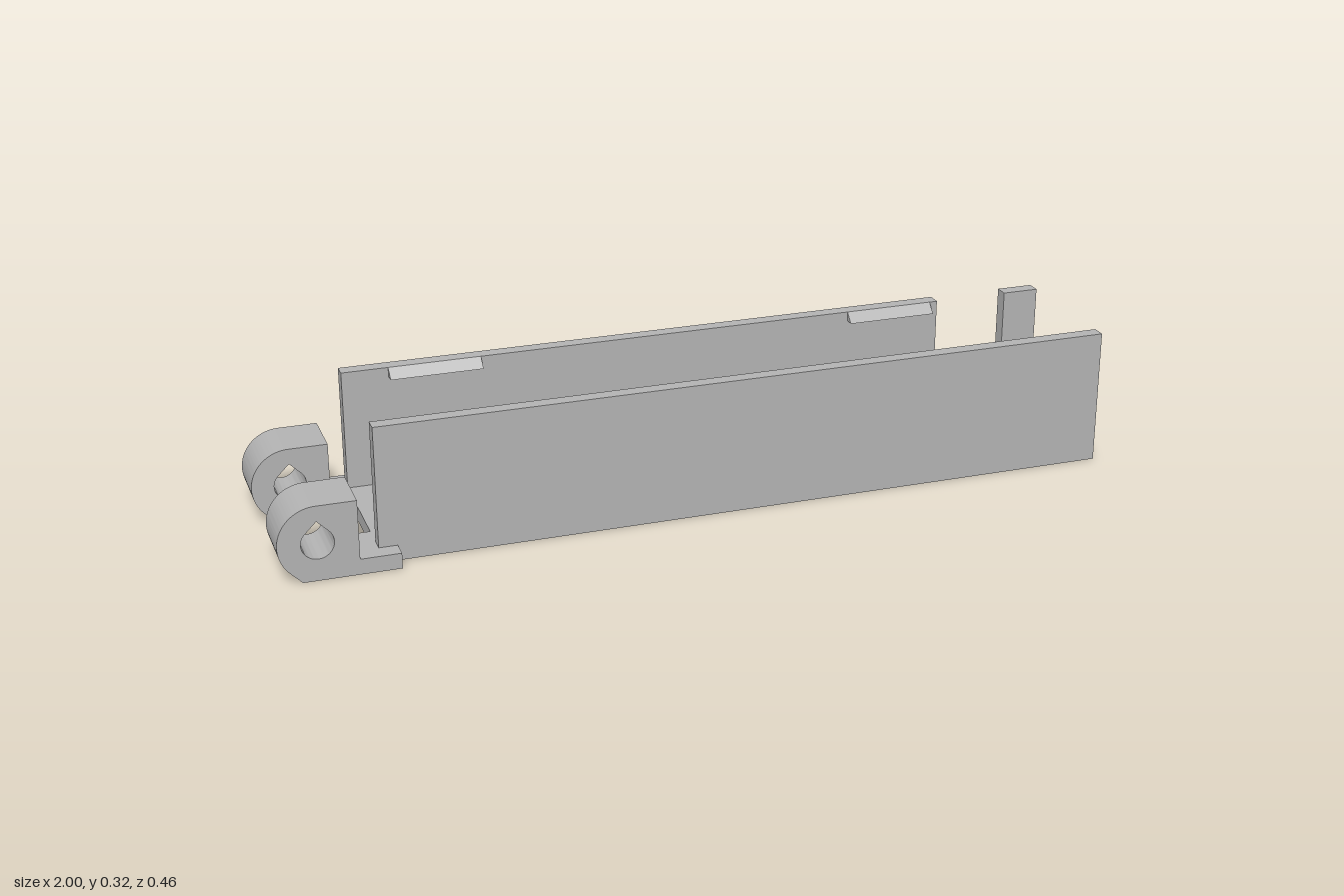
import * as THREE from 'three';
import { toCreasedNormals } from 'three/addons/utils/BufferGeometryUtils.js';

const X0 = -0.77, X1 = 1;              // channel ends
const HALF = 0.187, WALL = 0.034;      // channel half width, wall thickness
const FLOOR = 0.037, TOP = 0.325;      // floor thickness, wall height

export function createModel() {
  const model = new THREE.Group();
  const grey = new THREE.MeshStandardMaterial({ color: 0xb2b2b2 });
  grey.name = 'grey plastic';

  const add = (name, geometry) => {
    const mesh = new THREE.Mesh(geometry, grey);
    mesh.name = name;
    model.add(mesh);
    return mesh;
  };
  const box = (name, x0, x1, y0, y1, z0, z1) =>
    add(name, new THREE.BoxGeometry(x1 - x0, y1 - y0, z1 - z0))
      .position.set((x0 + x1) / 2, (y0 + y1) / 2, (z0 + z1) / 2);

  // Channel: floor, full front wall, back wall with a gap near the open end
  box('floor', X0, X1, 0, FLOOR, -HALF, HALF);
  box('frontWall', X0, X1, FLOOR, TOP, HALF - WALL, HALF);
  box('backWall', X0, 0.725, FLOOR, TOP, -HALF, -HALF + WALL);
  box('backPost', 0.91, X1, FLOOR, TOP, -HALF, -HALF + WALL);

  // Wedge-shaped snap clips along the top inner edges
  const inner = HALF - WALL;
  for (const side of [1, -1]) {
    for (const x of [-0.66, 0.485]) {
      const wedge = new THREE.Shape([
        new THREE.Vector2(-side * inner, TOP),
        new THREE.Vector2(-side * inner, TOP - 0.023),
        new THREE.Vector2(-side * (inner - 0.023), TOP - 0.023),
      ]);
      const geometry = new THREE.ExtrudeGeometry(wedge, { depth: 0.22, bevelEnabled: false });
      geometry.rotateY(Math.PI / 2);   // extrude along x, shape x becomes -z
      add('snapClip', geometry).position.x = x;
    }
  }

  // Hinge knuckle profile: rounded end, chamfered underside and a foot plate
  const cx = -0.911, cy = 0.089, r = 0.089, hole = 0.037, c = Math.SQRT1_2;
  const profile = new THREE.Shape();
  profile.moveTo(-0.727, 0);
  profile.lineTo(-0.727, FLOOR);
  profile.lineTo(-0.82, FLOOR);
  profile.lineTo(-0.82, cy + r);
  profile.lineTo(cx, cy + r);
  profile.absarc(cx, cy, r, Math.PI / 2, Math.PI * 1.25, false);
  profile.lineTo(cx - r * c + (cy - r * c), 0);
  profile.closePath();

  // Teardrop pin hole with its point upward
  const pin = new THREE.Path();
  pin.moveTo(cx, cy + hole * Math.SQRT2);
  pin.lineTo(cx + hole * c, cy + hole * c);
  pin.absarc(cx, cy, hole, Math.PI / 4, Math.PI * 0.75, true);
  pin.closePath();
  profile.holes.push(pin);

  const knuckle = toCreasedNormals(new THREE.ExtrudeGeometry(profile, {
    depth: 0.133, bevelEnabled: false, curveSegments: 32,
  }), 0.5);
  add('frontHinge', knuckle).position.z = 0.097;
  add('backHinge', knuckle).position.z = -0.23;

  return model;
}
